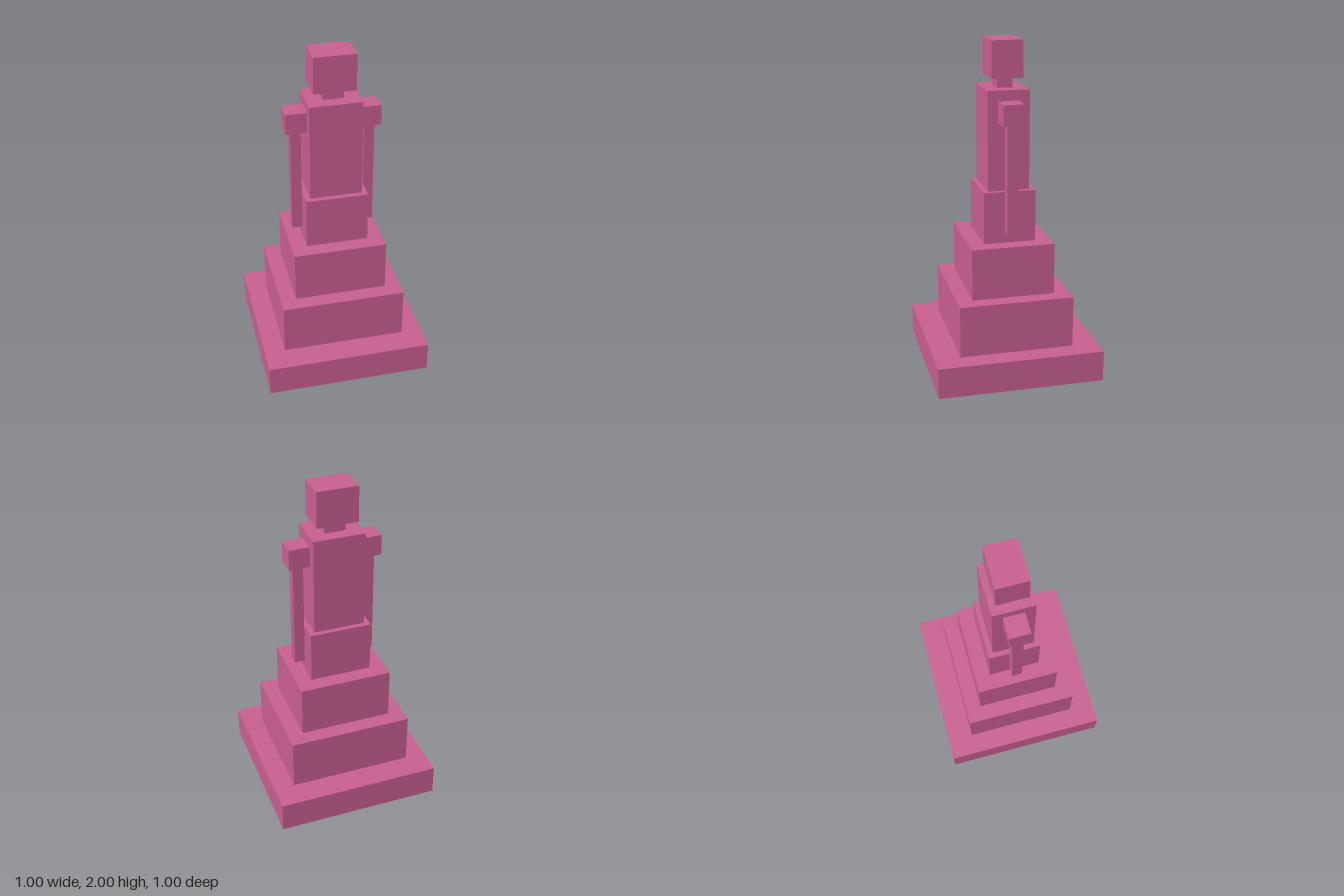
import * as THREE from 'three';

export function createModel() {
  const model = new THREE.Group();
  const pink = new THREE.MeshStandardMaterial({ color: 0xc96091 });
  pink.name = 'rose pink';

  // Block of given width and depth spanning bottom to top
  function block(name, width, depth, bottom, top, x = 0) {
    const mesh = new THREE.Mesh(new THREE.BoxGeometry(width, top - bottom, depth), pink);
    mesh.name = name;
    mesh.position.set(x, (bottom + top) / 2, 0);
    model.add(mesh);
  }

  // Stepped skirt
  block('base', 1, 1, 0, 0.1875);
  block('lowerSkirt', 0.75, 0.6875, 0.1875, 0.5);
  block('upperSkirt', 0.5625, 0.5, 0.5, 0.8125);

  // Body and head
  block('hips', 0.375, 0.3125, 0.8125, 1.125);
  block('torso', 0.3125, 0.25, 1.125, 1.71875);
  block('neck', 0.125, 0.09375, 1.71875, 1.78125);
  block('head', 0.25, 0.1875, 1.78125, 2);

  // Shoulders and hanging arms, mirrored
  for (const [side, s] of [['left', 1], ['right', -1]]) {
    block(side + 'Shoulder', 0.125, 0.125, 1.53125, 1.65625, s * 0.21875);
    block(side + 'Arm', 0.0625, 0.0625, 0.875, 1.53125, s * 0.21875);
  }

  return model;
}
